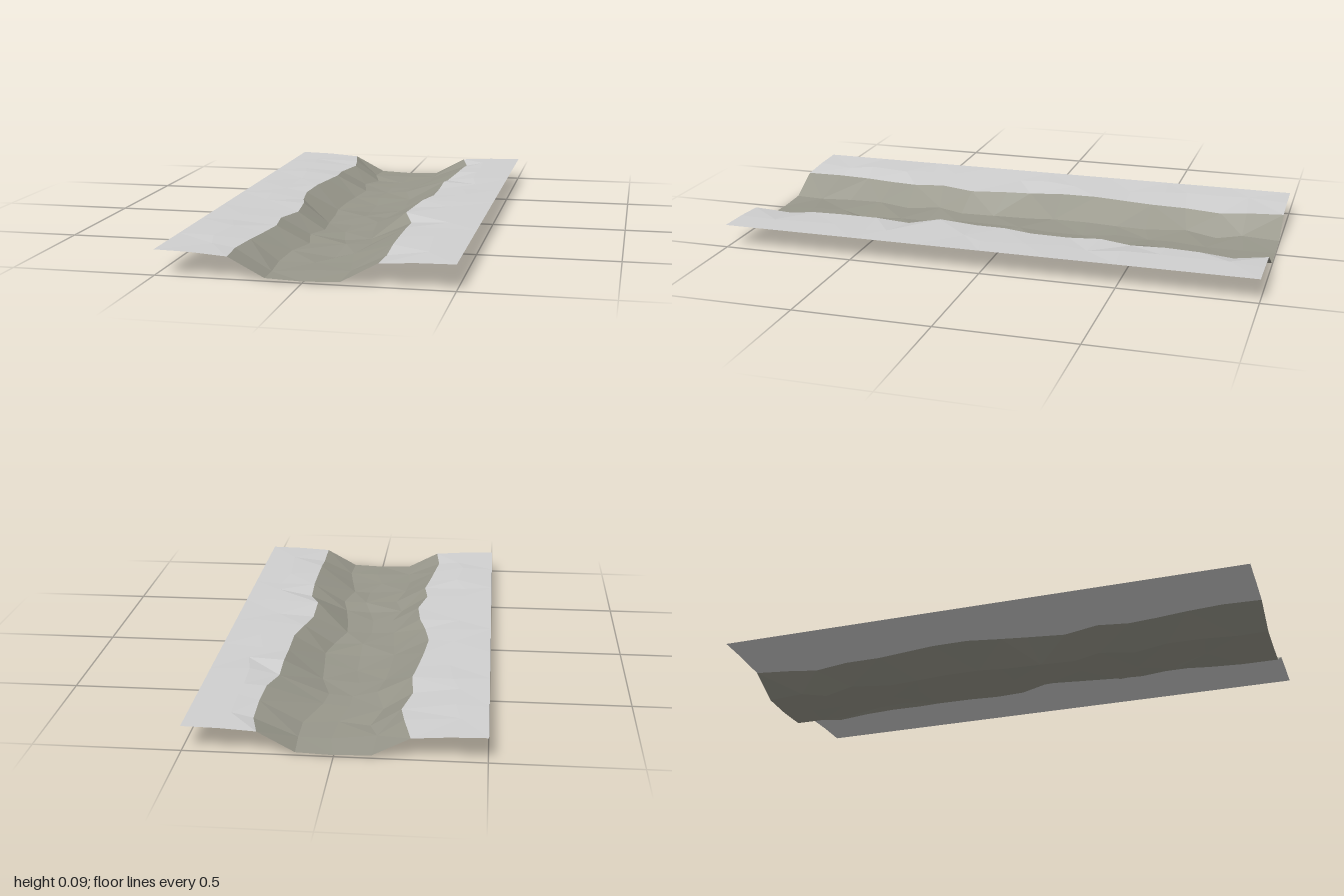
import * as THREE from 'three';

// Channel outline sampled at 17 even rows from back (z = -1) to front (z = 1)
const LEFT_LIP = [-.25, -.22, -.205, -.235, -.225, -.24, -.255, -.265, -.245, -.22, -.205, -.235, -.22, -.235, -.25, -.265, -.25];
const LEFT_FOOT = [-.125, -.13, -.1, -.135, -.1, -.12, -.13, -.135, -.125, -.115, -.1, -.13, -.1, -.13, -.14, -.13, -.125];
const RIGHT_FOOT = [.125, .13, .13, .08, .07, .11, .12, .13, .11, .07, .08, .1, .12, .09, .11, .13, .125];
const RIGHT_LIP = [.25, .28, .28, .275, .25, .25, .25, .25, .225, .205, .205, .245, .25, .25, .25, .25, .25];
const ROWS = 17;

function seeded(seed) {
  return () => {
    seed = (seed * 16807) % 2147483647;
    return (seed / 2147483647) * 2 - 1;
  };
}

// Cross-sections: two bank columns, lip, foot, centre, foot, lip, two bank columns
function makeRows() {
  const rand = seeded(41);
  const rows = [];
  for (let i = 0; i < ROWS; i++) {
    const end = i === 0 || i === ROWS - 1;
    const j = (amount) => (end ? 0 : rand() * amount);
    const z = -1 + (2 * i) / (ROWS - 1);
    rows.push([
      [-0.5, 0.088, z],
      [-0.375 + j(0.03), 0.085 + j(0.003), z + j(0.03)],
      [LEFT_LIP[i], 0.076 + j(0.004), z + j(0.02)],
      [LEFT_FOOT[i], 0.011 + j(0.005), z + j(0.02)],
      [j(0.03), 0.006 + j(0.006), z + j(0.02)],
      [RIGHT_FOOT[i], 0.011 + j(0.004), z + j(0.025)],
      [RIGHT_LIP[i], 0.079 + j(0.008), z + j(0.02)],
      [0.375 + j(0.03), 0.086 + j(0.003), z + j(0.03)],
      [0.5, 0.088, z],
    ]);
  }
  return rows;
}

// Faceted strip spanning the columns from..to
function strip(rows, from, to) {
  const pos = [];
  for (let i = 0; i < ROWS - 1; i++) {
    for (let c = from; c < to; c++) {
      const a = rows[i][c], b = rows[i][c + 1];
      const d = rows[i + 1][c], e = rows[i + 1][c + 1];
      const tris = (i + c) % 2 ? [a, d, b, b, d, e] : [a, d, e, a, e, b];
      tris.forEach((p) => pos.push(...p));
    }
  }
  const g = new THREE.BufferGeometry();
  g.setAttribute('position', new THREE.Float32BufferAttribute(pos, 3));
  g.computeVertexNormals();
  return g;
}

export function createModel() {
  const group = new THREE.Group();
  group.name = 'riverbedTile';
  const options = { flatShading: true, side: THREE.DoubleSide };
  const bankMat = new THREE.MeshStandardMaterial({ color: 0xd0d0d0, ...options });
  bankMat.name = 'pale grey bank';
  const bedMat = new THREE.MeshStandardMaterial({ color: 0x99988c, ...options });
  bedMat.name = 'stone grey bed';

  const rows = makeRows();
  const parts = [
    ['rightBank', 0, 2, bankMat],
    ['riverBed', 2, 6, bedMat],
    ['leftBank', 6, 8, bankMat],
  ];
  for (const [name, from, to, mat] of parts) {
    const mesh = new THREE.Mesh(strip(rows, from, to), mat);
    mesh.name = name;
    group.add(mesh);
  }
  return group;
}
